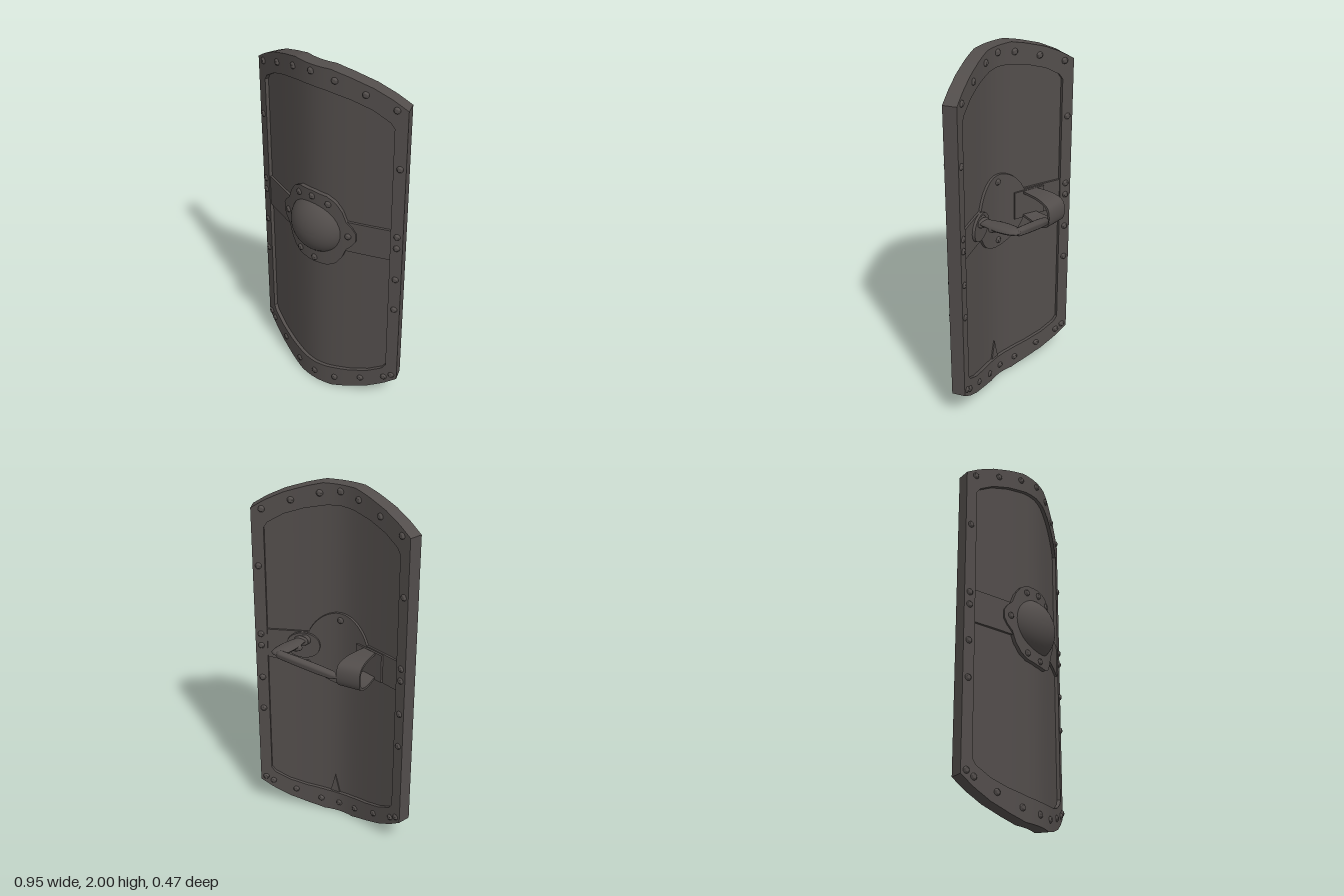
import * as THREE from 'three';
import { toCreasedNormals } from 'three/addons/utils/BufferGeometryUtils.js';

const iron = new THREE.MeshStandardMaterial({ color: 0x524d4b });
iron.name = 'dark iron';

// Curved mid-surface of the shield: a bend in the middle, nearly straight wings
const A = 0.05, S = 0.4;
const surfZ = x => 0.128 + A - Math.sqrt(A * A + S * S * x * x);
const normalAt = x => {
  const slope = -S * S * x / Math.sqrt(A * A + S * S * x * x);
  return new THREE.Vector3(-slope, 0, 1).normalize();
};
const onShield = (x, y, d) =>
  new THREE.Vector3(x, y, surfZ(x)).addScaledVector(normalAt(x), d);

// Piecewise linear profile, mirrored in x
const profile = pts => x => {
  const a = Math.abs(x);
  for (let i = 1; i < pts.length; i++) {
    const [x0, y0] = pts[i - 1], [x1, y1] = pts[i];
    if (a <= x1) return y0 + (y1 - y0) * (a - x0) / (x1 - x0);
  }
  return pts[pts.length - 1][1];
};
const outerTop = profile([[0, 2], [0.1, 2], [0.19, 1.977], [0.3, 1.94], [0.39, 1.895], [0.461, 1.848]]);
const innerTop = profile([[0, 1.89], [0.08, 1.885], [0.2, 1.86], [0.3, 1.825], [0.38, 1.775], [0.4, 1.745]]);
const outerBottom = profile([[0, 0], [0.1, 0], [0.19, 0.025], [0.3, 0.065], [0.39, 0.115], [0.461, 0.168]]);
const innerBottom = profile([[0, 0.125], [0.08, 0.13], [0.2, 0.15], [0.3, 0.18], [0.38, 0.225], [0.4, 0.255]]);

function add(group, name, geometry, crease = 0.6) {
  const mesh = new THREE.Mesh(toCreasedNormals(geometry, crease), iron);
  mesh.name = name;
  group.add(mesh);
  return mesh;
}

// Reshape every vertex of a geometry by a rule
function reshape(geometry, rule) {
  const p = geometry.attributes.position;
  for (let i = 0; i < p.count; i++) {
    const v = rule(p.getX(i), p.getY(i), p.getZ(i));
    p.setXYZ(i, v.x, v.y, v.z);
  }
  return geometry;
}

// Plate that follows the shield between two x limits, two y profiles and two depths
function slab(group, name, x0, x1, lo, hi, d0, d1, segments = 36) {
  const geo = reshape(new THREE.BoxGeometry(1, 1, 1, segments, 1, 1), (u, v, w) => {
    const x = x0 + (x1 - x0) * (u + 0.5);
    return onShield(x, lo(x) + (hi(x) - lo(x)) * (v + 0.5), d0 + (d1 - d0) * (w + 0.5));
  });
  return add(group, name, geo);
}

function rivet(group, x, y, d, side) {
  const geo = new THREE.SphereGeometry(0.018, 12, 6, 0, Math.PI * 2, 0, Math.PI / 2);
  geo.scale(1, 0.75, 1);
  const m = add(group, 'rivet', geo, 1.2);
  m.position.copy(onShield(x, y, d * side));
  m.quaternion.setFromUnitVectors(new THREE.Vector3(0, 1, 0), normalAt(x).multiplyScalar(side));
}

// Turned limb between two points; profile entries are [radius, fraction]
function limb(group, name, a, b, pts, flat) {
  const dir = new THREE.Vector3().subVectors(b, a), length = dir.length();
  const geo = new THREE.LatheGeometry(pts.map(([r, t]) => new THREE.Vector2(r, t * length)), 16);
  geo.scale(1, 1, flat);
  const m = add(group, name, geo, 0.9);
  m.position.copy(a);
  m.quaternion.setFromUnitVectors(new THREE.Vector3(0, 1, 0), dir.normalize());
}

export function createModel() {
  const shield = new THREE.Group();
  shield.name = 'shield';
  const flat = y => () => y;
  const ellipse = (cx, cy, rx, ry, sign) => x =>
    cy + sign * ry * Math.sqrt(Math.max(0, 1 - ((x - cx) / rx) ** 2));

  // Recessed panel and raised rim
  slab(shield, 'panel', -0.41, 0.41, x => innerBottom(x) - 0.03, x => innerTop(x) + 0.03, -0.018, 0.018);
  const rim = new THREE.Group();
  rim.name = 'rim';
  shield.add(rim);
  const T = 0.037;
  slab(rim, 'rimTop', -0.4, 0.4, innerTop, outerTop, -T, T, 40);
  slab(rim, 'rimBottom', -0.4, 0.4, outerBottom, innerBottom, -T, T, 40);
  for (const s of [-1, 1]) {
    const ends = [s * 0.4, s * 0.461].sort((a, b) => a - b);
    slab(rim, 'rimSide', ends[0], ends[1], outerBottom, outerTop, -T, T, 4);
  }

  // Rim rivets on both faces
  const rivets = new THREE.Group();
  rivets.name = 'rivets';
  shield.add(rivets);
  const half = [[0.12, 1.945], [0.265, 1.9], [0.408, 1.845], [0.432, 1.53], [0.432, 1.13], [0.432, 1.06],
    [0.432, 0.86], [0.432, 0.66], [0.432, 0.19], [0.392, 0.165], [0.265, 0.115], [0.12, 0.068]];
  for (const side of [-1, 1]) {
    for (const [x, y] of half) for (const s of [-1, 1]) rivet(rivets, s * x, y, T, side);
    rivet(rivets, 0, 1.965, T, side);
    rivet(rivets, 0, 0.06, T, side);
  }

  // Front cross band, boss plate and dome
  slab(shield, 'frontBand', -0.405, 0.405, flat(0.975), flat(1.157), 0.01, 0.031);
  const CY = 1.075;
  const plateHalf = profile([[0, 0.222], [0.08, 0.215], [0.125, 0.19], [0.16, 0.14], [0.18, 0.085], [0.21, 0.055], [0.23, 0.022]]);
  slab(shield, 'bossPlate', -0.23, 0.23, x => CY - plateHalf(x), x => CY + plateHalf(x), 0.01, 0.04, 46);
  const arc = [];
  for (let i = 0; i <= 14; i++) {
    const a = i / 14 * Math.PI / 2;
    arc.push(new THREE.Vector2(0.168 * Math.cos(a), 0.134 * Math.sin(a)));
  }
  const dome = add(shield, 'bossDome', new THREE.LatheGeometry(arc, 40), 1);
  dome.rotation.x = Math.PI / 2;
  dome.position.set(0, CY, 0.105);
  for (const [x, y] of [[0, 1.263], [0.087, 1.245], [-0.087, 1.245], [0.19, CY], [-0.19, CY],
    [0.01, 0.882], [-0.083, 0.895]]) rivet(rivets, x, y, 0.04, 1);

  // Back disc and band ends
  slab(shield, 'backDisc', -0.2, 0.2, ellipse(0, CY, 0.2, 0.215, -1), ellipse(0, CY, 0.2, 0.215, 1), -0.032, -0.01, 48);
  rivet(rivets, 0, 1.25, 0.032, -1);
  rivet(rivets, 0, 0.9, 0.032, -1);
  slab(shield, 'backBandLeft', 0.13, 0.405, flat(0.985), flat(1.157), -0.03, -0.01, 12);
  slab(shield, 'backBandRight', -0.405, -0.13, flat(0.985), flat(1.157), -0.03, -0.01, 12);
  // Small pointed tab above the lower rim
  slab(shield, 'backTab', 0.005, 0.065, flat(0.11), x => 0.24 - Math.abs(x - 0.035) * 3.8, -0.026, -0.01, 8);

  // Grip on the back: mounting pads, strap loop, post and bar
  const grip = new THREE.Group();
  grip.name = 'grip';
  shield.add(grip);
  slab(grip, 'postPad', 0.12, 0.3, ellipse(0.21, 1.08, 0.09, 0.075, -1), ellipse(0.21, 1.08, 0.09, 0.075, 1), -0.045, -0.02, 24);
  slab(grip, 'strapPad', -0.3, -0.12, flat(0.99), flat(1.15), -0.042, -0.02, 8);

  const path = new THREE.CatmullRomCurve3([[1.0, 0.06], [0.995, -0.08], [1.02, -0.145], [1.07, -0.16],
    [1.125, -0.145], [1.145, -0.08], [1.14, 0.06]].map(([y, z]) => new THREE.Vector3(0, y, z)));
  const strap = reshape(new THREE.BoxGeometry(1, 1, 1, 1, 32, 1), (u, v, w) => {
    const p = path.getPoint(v + 0.5), t = path.getTangent(v + 0.5);
    const k = (0.05 - p.z) / 0.21;
    p.x = -0.2 + 0.02 * k + u * (0.08 + 0.055 * k);
    p.y -= t.z * w * 0.014;
    p.z += t.y * w * 0.014;
    return p;
  });
  add(grip, 'strapLoop', strap);

  const V = (x, y, z) => new THREE.Vector3(x, y, z);
  limb(grip, 'gripPost', V(0.2, 1.115, 0.06), V(0.212, 1.148, -0.232),
    [[0, 0], [0.032, 0.01], [0.034, 0.2], [0.043, 0.4], [0.048, 0.6], [0.044, 0.8], [0.036, 0.93], [0.018, 0.99], [0, 1]], 0.4);
  limb(grip, 'gripBar', V(-0.105, 1.062, -0.155), V(0.215, 1.148, -0.218),
    [[0, 0], [0.015, 0.01], [0.023, 0.06], [0.026, 0.3], [0.025, 0.7], [0.023, 0.94], [0.012, 0.99], [0, 1]], 0.95);
  limb(grip, 'gripNeck', V(-0.15, 1.06, -0.155), V(-0.085, 1.065, -0.158),
    [[0, 0], [0.008, 0.02], [0.008, 0.6], [0.015, 0.75], [0.012, 0.95], [0, 1]], 1);

  // Collar and side knob of the post
  for (const [x, y, z, rx, ry, rz] of [[0.2, 1.115, 0.02, 0.043, 0.028, 0.016],
    [0.205, 1.115, 0.045, 0.05, 0.034, 0.016], [0.2, 1.12, -0.065, 0.055, 0.024, 0.026]]) {
    const knob = add(grip, 'postCollar', new THREE.SphereGeometry(1, 18, 10).scale(rx, ry, rz), 1.2);
    knob.position.set(x, y, z);
  }
  return shield;
}
